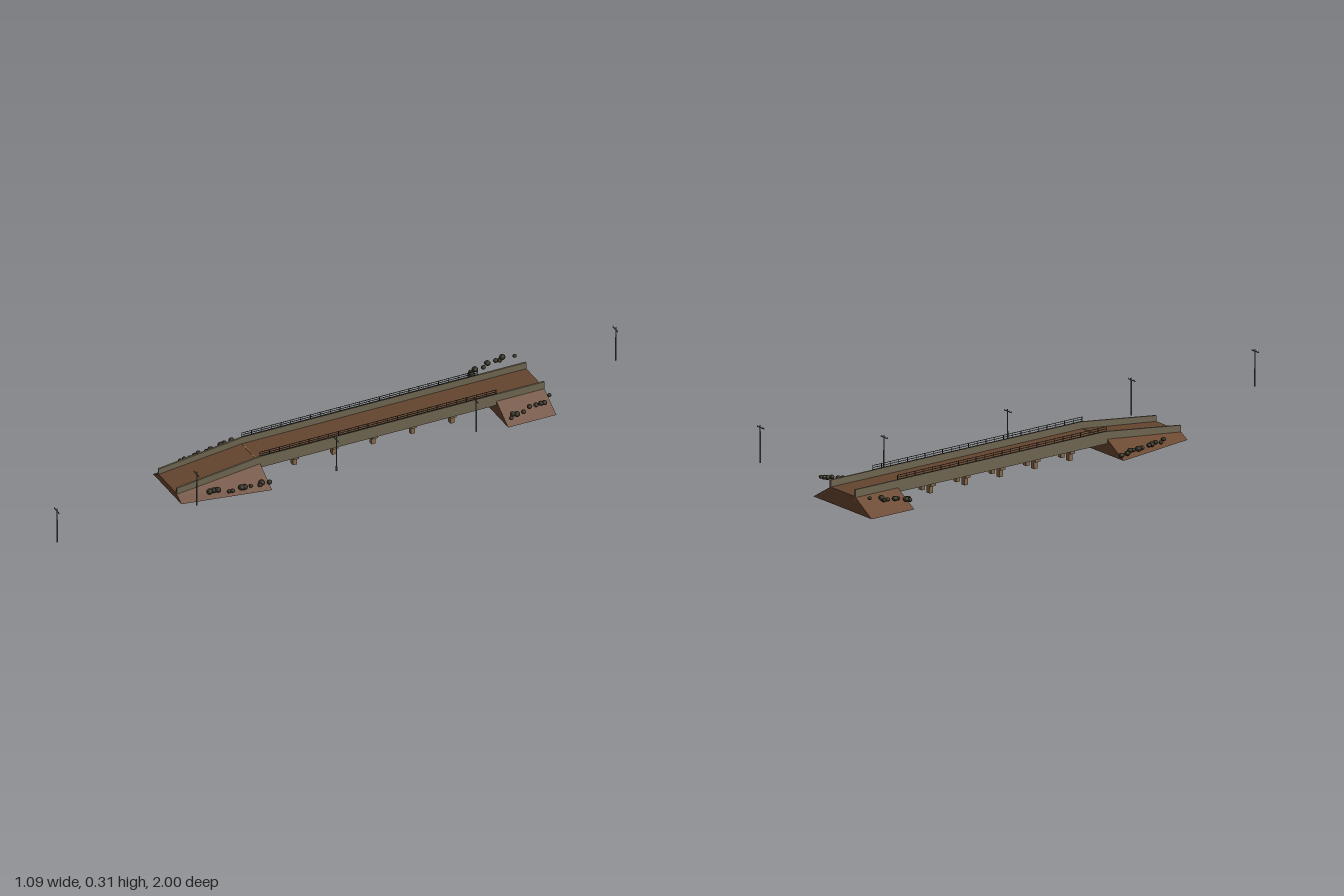
import * as THREE from 'three';

const mat = (name, color) => {
  const m = new THREE.MeshStandardMaterial({ color });
  m.name = name;
  return m;
};

// Solid through cross-sections [z, [[x, y], ...]]; loops run counter-clockwise seen from +z
function loft(sections) {
  const pos = [];
  const tri = (...pts) => pts.forEach((p) => pos.push(...p));
  const loops = sections.map(([z, pts]) => pts.map(([x, y]) => [x, y, z]));
  const n = loops[0].length;
  for (let k = 0; k + 1 < loops.length; k++) {
    const a = loops[k], b = loops[k + 1];
    for (let i = 0; i < n; i++) {
      const j = (i + 1) % n;
      tri(a[i], a[j], b[j]);
      tri(a[i], b[j], b[i]);
    }
  }
  const first = loops[0], last = loops[loops.length - 1];
  for (let i = 1; i + 1 < n; i++) {
    tri(first[0], first[i + 1], first[i]);
    tri(last[0], last[i], last[i + 1]);
  }
  const g = new THREE.BufferGeometry();
  g.setAttribute('position', new THREE.Float32BufferAttribute(pos, 3));
  g.computeVertexNormals();
  return g;
}

const rect = (x, w, y0, y1) => [[x - w / 2, y0], [x + w / 2, y0], [x + w / 2, y1], [x - w / 2, y1]];
const mound = (base, top, h) => [[-base, 0], [base, 0], [top, h], [-top, h]];

export function createModel() {
  const earth = mat('earth', 0x6a4730);
  const road = mat('roadSurface', 0x64452f);
  const concrete = mat('concrete', 0x6f6550);
  const stone = mat('pierStone', 0x86694a);
  const railMat = mat('darkRail', 0x2c2b27);
  const bushMat = mat('bush', 0x2b2619);
  const poleMat = mat('pole', 0x5c5c5a);

  const model = new THREE.Group();
  model.name = 'roadBridge';
  const site = new THREE.Group(); // local z runs along the road
  site.name = 'site';
  site.rotation.y = -0.489;
  model.add(site);
  const bridge = new THREE.Group();
  bridge.name = 'bridge';
  bridge.position.x = -0.18;
  site.add(bridge);

  const add = (parent, name, geo, material, x = 0, y = 0, z = 0) => {
    const m = new THREE.Mesh(geo, material);
    m.name = name;
    m.position.set(x, y, z);
    parent.add(m);
    return m;
  };
  const box = (parent, name, material, w, h, d, x, y, z) =>
    add(parent, name, new THREE.BoxGeometry(w, h, d), material, x, y, z);

  const far = -0.887, farInner = -0.694, nearInner = 0.255, near = 0.59;

  // Earth embankments at both ends
  add(bridge, 'farEmbankment', loft([[far, mound(0.172, 0.076, 0.058)], [farInner, mound(0.172, 0.076, 0.058)]]), earth);
  add(bridge, 'nearEmbankment', loft([[nearInner, mound(0.173, 0.076, 0.058)], [near, mound(0.114, 0.076, 0.021)]]), earth);

  // Road slab, level over the piers and sloping down the ramp
  add(bridge, 'roadSlab', loft([
    [far, rect(0, 0.142, 0.052, 0.061)],
    [nearInner, rect(0, 0.142, 0.052, 0.061)],
    [near, rect(0, 0.142, 0.015, 0.024)],
  ]), road);
  box(bridge, 'expansionJoint', stone, 0.138, 0.002, 0.004, 0, 0.0615, nearInner);

  // Girders under the span
  const spanLength = nearInner - farInner, spanMid = (nearInner + farInner) / 2;
  for (const x of [-0.045, -0.015, 0.015, 0.045]) {
    box(bridge, 'girder', concrete, 0.01, 0.012, spanLength, x, 0.047, spanMid);
  }
  box(bridge, 'slabUnderside', concrete, 0.14, 0.003, spanLength, 0, 0.0515, spanMid);

  // Parapets and railings on both sides
  for (const side of [-1, 1]) {
    const x = side * 0.073;
    add(bridge, 'parapet', loft([
      [far, rect(x, 0.007, 0.041, 0.087)],
      [nearInner, rect(x, 0.007, 0.041, 0.087)],
      [near, rect(x, 0.007, 0.018, 0.046)],
    ]), concrete);
    for (const y of [0.096, 0.104]) {
      box(bridge, 'handrail', railMat, 0.002, 0.0016, spanLength, x, y, spanMid);
    }
    box(bridge, 'railBase', railMat, 0.006, 0.0012, spanLength, x, 0.0876, spanMid);
    const posts = 24;
    for (let i = 0; i <= posts; i++) {
      box(bridge, 'railPost', railMat, 0.0018, 0.018, 0.0018, x, 0.096, farInner + (spanLength * i) / posts);
    }
  }

  // Piers: cap beam on three columns
  for (let i = 0; i < 5; i++) {
    const z = 0.105 - i * 0.158;
    box(bridge, 'pierCap', stone, 0.136, 0.012, 0.022, 0, 0.035, z);
    for (const x of [-0.047, 0, 0.047]) {
      box(bridge, 'pierColumn', stone, 0.018, 0.03, 0.016, x, 0.015, z);
    }
  }

  // Bushes in rows on the embankment slopes
  let seed = 7;
  const rand = () => (seed = (seed * 16807) % 2147483647) / 2147483647;
  const bushGeo = new THREE.IcosahedronGeometry(1, 1);
  const bushRow = (count, from, to) => {
    for (let i = 0; i < count; i++) {
      const f = (i + 0.6 * (rand() - 0.5)) / (count - 1);
      const [x, y, z] = from.map((v, k) => v + (to[k] - v) * f);
      for (const side of [-1, 1]) {
        const b = add(bridge, 'bush', bushGeo, bushMat,
          side * (x + 0.02 * (rand() - 0.5)), y + 0.008 * (rand() - 0.5), z + 0.012 * (rand() - 0.5));
        const r = 0.007 + 0.005 * rand();
        b.scale.set(r, r * 0.9, r * 1.1);
        b.rotation.y = rand() * 6;
      }
    }
  };
  bushRow(11, [0.157, 0.022, 0.26], [0.122, 0.022, 0.48]);
  bushRow(9, [0.164, 0.034, -0.7], [0.16, 0.074, -0.87]);

  // Line of utility poles beside the bridge
  const poleBases = [0.17, 0.025, 0.015, 0.025, 0.025];
  poleBases.forEach((y, i) => {
    const pole = new THREE.Group();
    pole.name = 'utilityPole';
    pole.position.set(0, y, -1.122 + i * 0.561);
    site.add(pole);
    add(pole, 'poleShaft', new THREE.CylinderGeometry(0.0018, 0.003, 0.141, 8), poleMat, 0, 0.0705, 0);
    box(pole, 'crossArm', poleMat, 0.042, 0.0025, 0.0025, 0, 0.132, 0.002);
    for (const x of [-0.018, -0.009, 0.009, 0.018]) {
      add(pole, 'insulator', new THREE.CylinderGeometry(0.001, 0.001, 0.004, 6), poleMat, x, 0.135, 0.002);
    }
  });

  return model;
}
